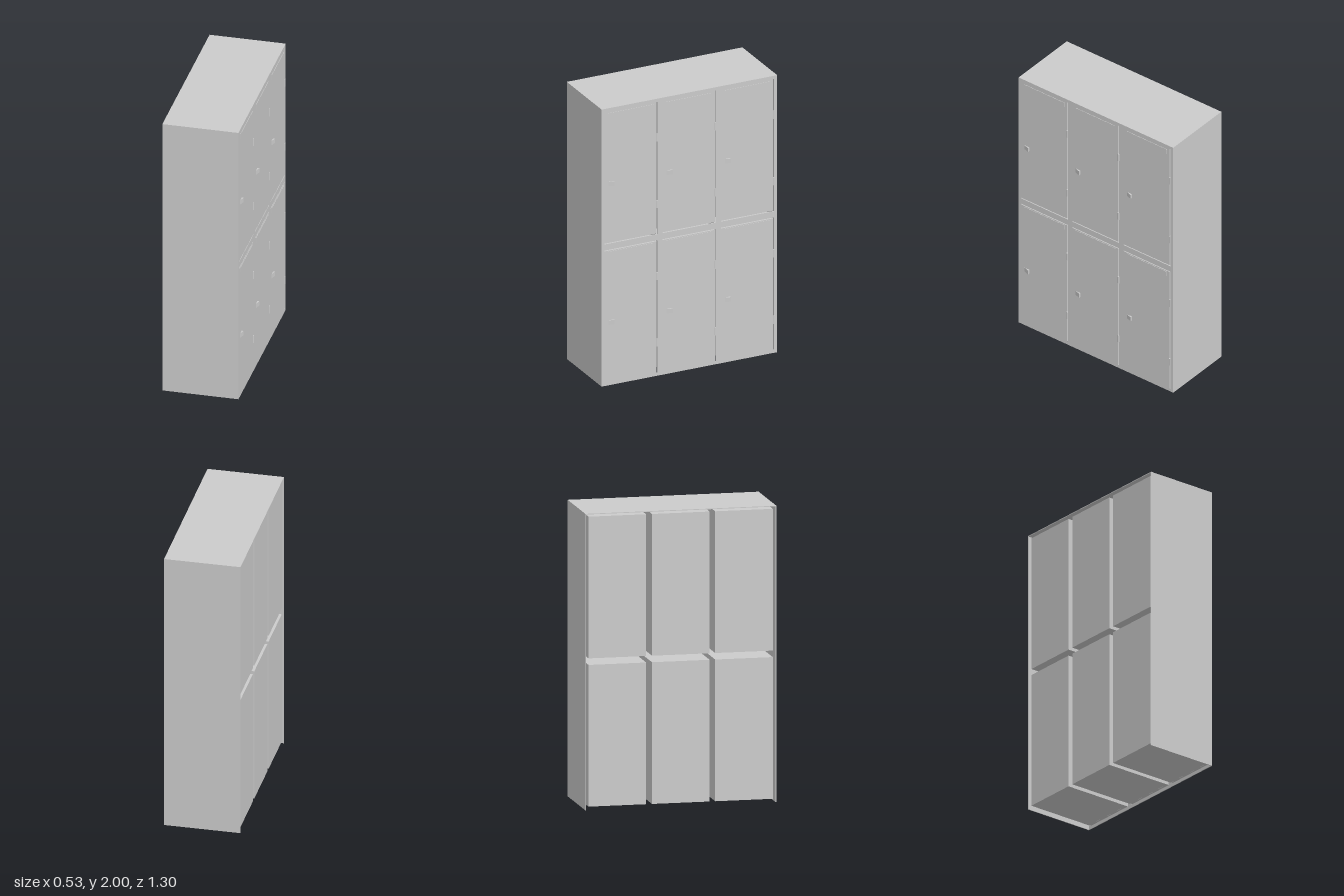
import * as THREE from 'three';

const material = new THREE.MeshStandardMaterial({ color: 0xcccccc, flatShading: true });
const BACK = -0.27, FRONT = 0.25, HALF = 0.65, HEIGHT = 2, SHEET = 0.005;
const DOOR_W = 0.392, DOOR_H = 0.956, GAP = 0.006;
const columns = [0.432, 0.002, -0.43];
const rows = [0.5, 1.5];

function add(parent, name, geometry, x = 0, y = 0, z = 0) {
  const mesh = new THREE.Mesh(geometry, material);
  mesh.name = name;
  mesh.position.set(x, y, z);
  parent.add(mesh);
  return mesh;
}

// Box given by its lower and upper corners
function addBox(parent, name, [x0, y0, z0], [x1, y1, z1]) {
  const geometry = new THREE.BoxGeometry(x1 - x0, y1 - y0, z1 - z0);
  return add(parent, name, geometry, (x0 + x1) / 2, (y0 + y1) / 2, (z0 + z1) / 2);
}

function rectangle(Type, x0, y0, x1, y1) {
  return new Type([[x0, y0], [x1, y0], [x1, y1], [x0, y1]].map(p => new THREE.Vector2(...p)));
}

// Front sheet with one opening per door, turned to face +x
function frameGeometry() {
  const shape = rectangle(THREE.Shape, -HALF, 0, HALF, HEIGHT);
  for (const z of columns) for (const y of rows) {
    shape.holes.push(rectangle(THREE.Path, -z - DOOR_W / 2, y - DOOR_H / 2, -z + DOOR_W / 2, y + DOOR_H / 2));
  }
  return new THREE.ExtrudeGeometry(shape, { depth: SHEET, bevelEnabled: false }).rotateY(Math.PI / 2);
}

// Wedge-shaped pull, deepest on its -z edge
function handleGeometry() {
  const shape = new THREE.Shape([[0, -0.02], [0, 0.02], [0.014, 0.02]].map(p => new THREE.Vector2(...p)));
  return new THREE.ExtrudeGeometry(shape, { depth: 0.032, bevelEnabled: false })
    .rotateX(-Math.PI / 2).translate(0, -0.016, 0);
}

export function createModel() {
  const group = new THREE.Group();
  group.name = 'lockerBank';

  // Outer shell, open at the back and underneath
  addBox(group, 'topPanel', [BACK, HEIGHT - SHEET, -HALF], [FRONT - SHEET, HEIGHT, HALF]);
  for (const s of [-1, 1]) {
    const z = s * (HALF - SHEET / 2);
    addBox(group, 'sidePanel', [BACK, 0, z - SHEET / 2], [FRONT - SHEET, HEIGHT - SHEET, z + SHEET / 2]);
  }
  add(group, 'frontFrame', frameGeometry(), FRONT - SHEET);

  const handle = handleGeometry();
  const hinge = new THREE.CylinderGeometry(0.006, 0.006, 0.055, 12);

  for (const z of columns) for (const y of rows) {
    const locker = new THREE.Group();
    locker.name = 'locker';
    locker.position.set(0, y, z);
    group.add(locker);
    const w = DOOR_W / 2, h = DOOR_H / 2;

    // Compartment behind the door
    addBox(locker, 'compartment', [BACK + 0.01, -h, -w], [FRONT - 0.02, h, w]);

    // Door with a reveal on its hinge side and on the edge facing the other row
    const lower = y < 1;
    addBox(locker, 'door',
      [FRONT - 0.019, lower ? -h : -h + GAP, -w + GAP],
      [FRONT, lower ? h - GAP : h, w]);

    // Raised strip across the head of the door
    addBox(locker, 'doorStrip', [FRONT - 0.001, 0.43, -w + 0.028], [FRONT + 0.003, 0.465, w - 0.028]);

    add(locker, 'handle', handle, FRONT, -0.047, 0.148);
    for (const hy of [-0.26, 0.22]) add(locker, 'hinge', hinge, FRONT, hy, -w + 0.003);
  }
  return group;
}
